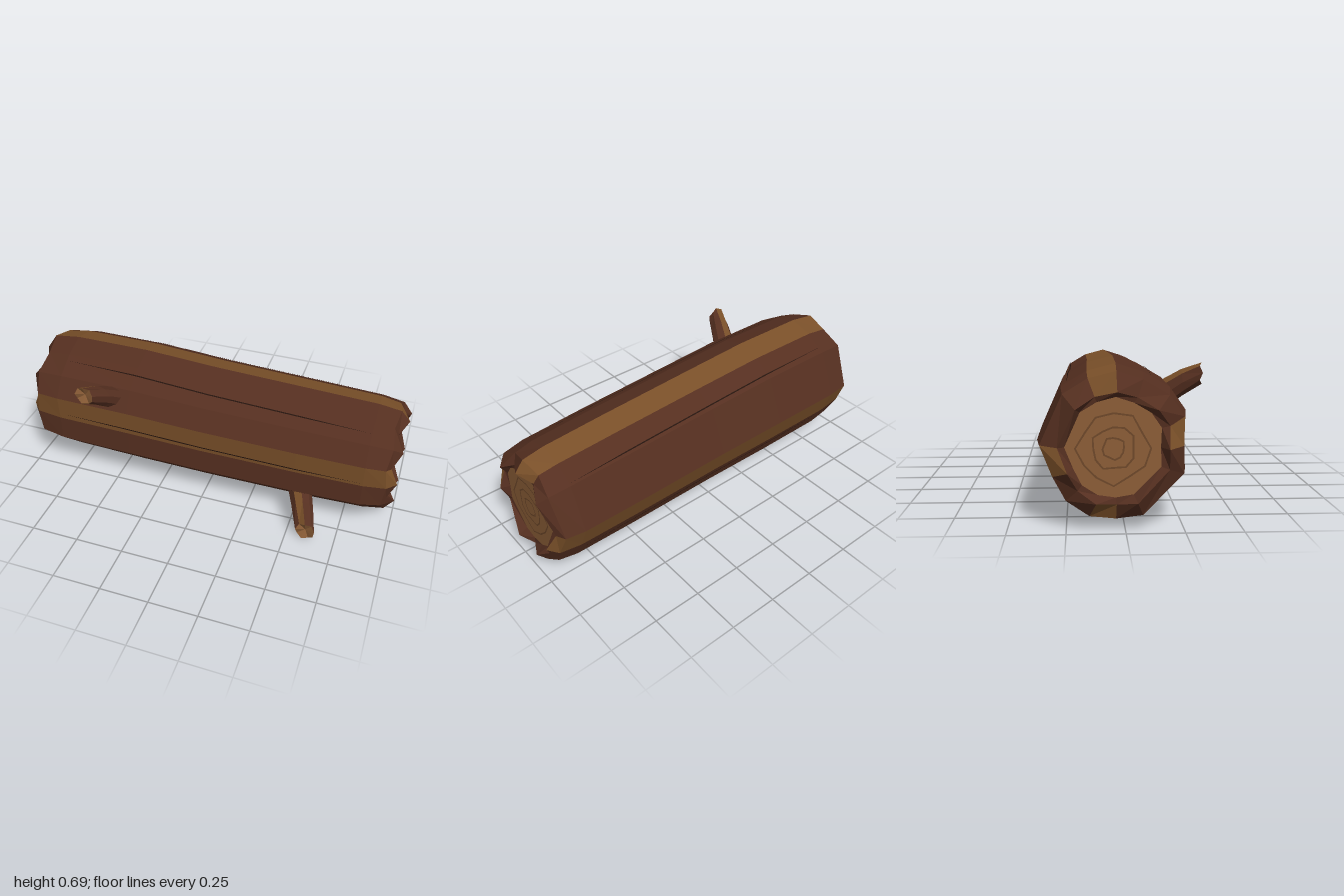
import * as THREE from 'three';

const BARK = 0x552f20, PALE = 0x7a5029, CUT = 0x8c5e37, GRAIN = 0x6e482a, CRACK = 0x24130d;
const V = (x, y, z) => new THREE.Vector3(x, y, z);

function facetMesh(name, points, color) {
  const g = new THREE.BufferGeometry().setFromPoints(points);
  g.computeVertexNormals();
  const m = new THREE.Mesh(g, new THREE.MeshStandardMaterial({ color, flatShading: true, side: THREE.DoubleSide }));
  m.name = name;
  return m;
}

// Skin closed rings; rings advance along the axis, corners run counterclockwise seen from its end
function loft(name, rings, isPale) {
  const bark = [], pale = [], n = rings[0].length;
  for (let s = 0; s < rings.length - 1; s++) for (let i = 0; i < n; i++) {
    const j = (i + 1) % n;
    const a = rings[s][i], b = rings[s][j], c = rings[s + 1][j], d = rings[s + 1][i];
    (isPale(s, i) ? pale : bark).push(a, b, c, a, c, d);
  }
  const g = new THREE.Group();
  g.name = name;
  g.add(facetMesh(name + 'DarkFaces', bark, BARK), facetMesh(name + 'PaleFaces', pale, PALE));
  return g;
}

function fan(name, ring, center, flip, color) {
  const pts = [];
  ring.forEach((p, i) => {
    const q = ring[(i + 1) % ring.length];
    pts.push(center, flip ? q : p, flip ? p : q);
  });
  return facetMesh(name, pts, color);
}

// Trunk cross-section as [z, y], from the top round over the front
const profile = [
  [-0.035, 0.70], [0.085, 0.662], [0.20, 0.595], [0.27, 0.495], [0.265, 0.365], [0.27, 0.235],
  [0.085, 0.05], [-0.035, 0.03], [-0.155, 0.048], [-0.26, 0.115], [-0.318, 0.23],
  [-0.375, 0.37], [-0.272, 0.60], [-0.16, 0.667],
];
// x, top, bottom, front, back, jaggedness in x
const stations = [
  [-0.955, 0.575, 0.150, 0.150, -0.255, 0],
  [-0.980, 0.600, 0.120, 0.185, -0.285, -0.02],
  [-0.935, 0.680, 0.050, 0.250, -0.360, -0.008],
  [-0.80, 0.700, 0.030, 0.270, -0.375, 0],
  [-0.40, 0.700, 0.020, 0.273, -0.372, 0],
  [0.00, 0.676, 0.015, 0.268, -0.360, 0],
  [0.50, 0.652, 0.010, 0.255, -0.356, 0],
  [0.84, 0.634, 0.014, 0.240, -0.352, 0],
  [0.945, 0.615, 0.030, 0.220, -0.335, 0.008],
  [0.980, 0.560, 0.080, 0.170, -0.285, 0.02],
  [0.955, 0.535, 0.110, 0.150, -0.252, 0],
];
const trunkRing = ([x, top, bottom, front, back, jag]) => profile.map(([z, y], i) => V(
  x + (i % 2 ? -jag : jag),
  bottom + (y - 0.03) / 0.67 * (top - bottom),
  back + (z + 0.375) / 0.645 * (front - back)));

// Wobbly growth rings lying on a cut end
function growthRings(name, x, cy, cz) {
  const pts = [], n = 12;
  [0.148, 0.09, 0.046].forEach((r, k) => {
    const at = (i, w) => {
      const a = (i % n) / n * Math.PI * 2 + k;
      const rad = r * (1 + 0.09 * Math.sin(i % n * 2.3 + k * 2)) + w;
      return V(x, cy + rad * Math.cos(a), cz + rad * Math.sin(a));
    };
    for (let i = 0; i < n; i++) {
      const a = at(i, -0.004), b = at(i + 1, -0.004), c = at(i + 1, 0.004), d = at(i, 0.004);
      if (x > 0) pts.push(a, c, b, a, d, c);
      else pts.push(a, b, c, a, c, d);
    }
  });
  return facetMesh(name, pts, GRAIN);
}

// Narrow raised split running along one side of the trunk
function crack(rings, side, t0, t1) {
  const pts = [], first = 3, last = 7;
  const at = (s, dt) => {
    const t = t0 + (t1 - t0) * (s - first) / (last - first) + dt;
    const a = rings[s][side], b = rings[s][(side + 1) % profile.length];
    const out = V(0, a.z - b.z, b.y - a.y).normalize().multiplyScalar(-0.003);
    return a.clone().lerp(b, t).add(out);
  };
  for (let s = first; s < last; s++) {
    const w0 = s === first ? 0 : 0.025, w1 = s + 1 === last ? 0 : 0.025;
    const a = at(s, -w0), b = at(s, w0), c = at(s + 1, w1), d = at(s + 1, -w1);
    pts.push(a, b, c, a, c, d);
  }
  return facetMesh('barkCrack', pts, CRACK);
}

// Broken branch stub with a jagged, hollowed tip
function stub(name, base, tip, rBase, rTip) {
  const n = 9;
  const ring = (c, r, jag) => Array.from({ length: n }, (_, i) => {
    const a = (i + 0.3) / n * Math.PI * 2;
    return V(c.x + r * Math.cos(a), c.y + r * Math.sin(a), c.z + (i % 2 ? -jag : jag));
  });
  const mid = base.clone().lerp(tip, 0.55).add(V(0, 0.008, 0));
  const end = ring(tip, rTip, 0.006);
  const g = loft(name, [ring(base, rBase, 0), ring(mid, (rBase + rTip) / 2, 0), end], (s, i) => i === 2 || i === 6);
  g.add(fan(name + 'Tip', end, tip.clone().add(V(0, 0, -0.015)), false, CUT));
  return g;
}

export function createModel() {
  const model = new THREE.Group();
  model.name = 'log';
  const rings = stations.map(trunkRing), last = rings.length - 1;

  // Trunk with four pale strips; the inner lips stay dark
  model.add(loft('trunk', rings, (s, i) => s > 0 && s < last - 1 && [3, 7, 10, 13].includes(i)));

  // Cut ends
  model.add(fan('rightCutEnd', rings[0], V(-0.955, 0.36, -0.05), true, CUT));
  model.add(fan('leftCutEnd', rings[last], V(0.955, 0.325, -0.05), false, CUT));
  model.add(growthRings('rightGrowthRings', -0.958, 0.36, -0.05));
  model.add(growthRings('leftGrowthRings', 0.958, 0.325, -0.05));

  // Splits in the bark
  [[1, 0.3, 0.5], [3, 0.75, 0.85], [6, 0.4, 0.6], [12, 0.25, 0.1], [9, 0.8, 0.6]]
    .forEach(([side, t0, t1]) => model.add(crack(rings, side, t0, t1)));

  // Branch stubs
  model.add(stub('upperStub', V(-0.49, 0.505, 0.18), V(-0.577, 0.63, 0.365), 0.078, 0.05));
  model.add(stub('lowerStub', V(0.515, 0.19, 0.18), V(0.6, 0.053, 0.365), 0.066, 0.05));
  return model;
}
